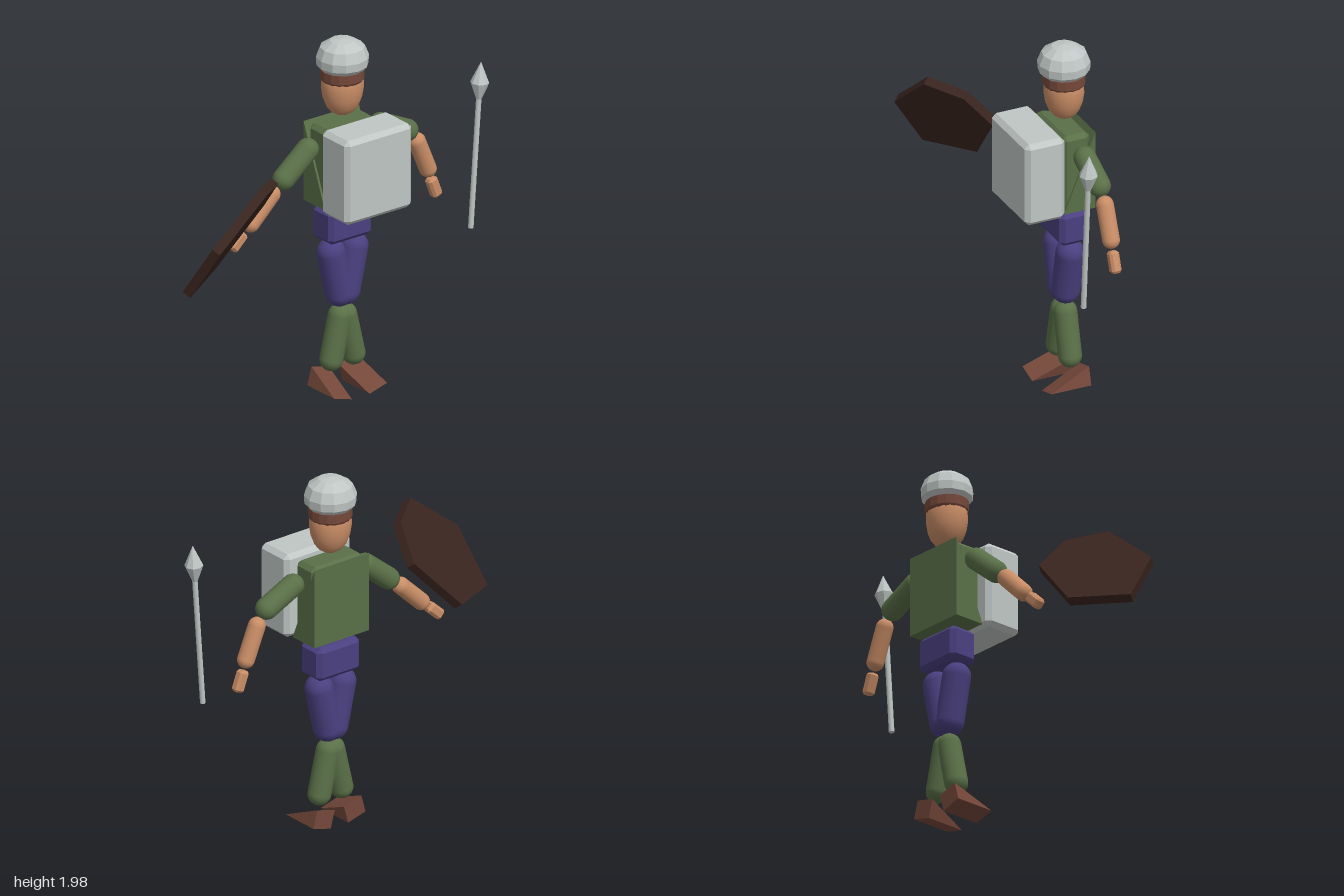
import * as THREE from 'three';
import { ConvexGeometry } from 'three/addons/geometries/ConvexGeometry.js';

const V = (x, y, z = 0) => new THREE.Vector3(x, y, z);
const mat = (color, extra = {}) => new THREE.MeshStandardMaterial({ color, ...extra });
const skin = mat(0xc98d66);
const green = mat(0x5a7048);
const purple = mat(0x4a4080);
const leather = mat(0x75483a);
const darkWood = mat(0x3a251f);
const metal = mat(0xbfc6c4);

function add(parent, name, geometry, material, x = 0, y = 0, z = 0) {
  const mesh = new THREE.Mesh(geometry, material);
  mesh.name = name;
  mesh.position.set(x, y, z);
  parent.add(mesh);
  return mesh;
}

// Box with a flat chamfer on every edge
function chamferBox(w, h, d, c) {
  const pts = [];
  for (const i of [-1, 1]) for (const j of [-1, 1]) for (const k of [-1, 1]) {
    const x = w / 2, y = h / 2, z = d / 2;
    pts.push(V(i * x, j * (y - c), k * (z - c)),
      V(i * (x - c), j * y, k * (z - c)),
      V(i * (x - c), j * (y - c), k * z));
  }
  return new ConvexGeometry(pts);
}

// Right-angled wedge: upright at the back, sloping down to the front, centred
function wedge(w, h, d) {
  const shape = new THREE.Shape([
    new THREE.Vector2(-d / 2, -h / 2), new THREE.Vector2(d / 2, -h / 2), new THREE.Vector2(-d / 2, h / 2)]);
  return new THREE.ExtrudeGeometry(shape, { depth: w, bevelEnabled: false })
    .translate(0, 0, -w / 2).rotateY(-Math.PI / 2);
}

function lathe(profile, sides) {
  return new THREE.LatheGeometry(profile.map(([r, y]) => new THREE.Vector2(r, y)), sides);
}

// Places a y-aligned mesh so that it runs from a to b
function align(mesh, a, b) {
  mesh.position.copy(a).lerp(b, 0.5);
  mesh.quaternion.setFromUnitVectors(V(0, 1, 0), b.clone().sub(a).normalize());
  return mesh;
}

function limb(parent, name, a, b, r, material) {
  return align(add(parent, name, new THREE.CapsuleGeometry(r, a.distanceTo(b), 8, 18), material), a, b);
}

export function createModel() {
  const model = new THREE.Group();
  model.name = 'soldier';
  const body = new THREE.Group();
  body.name = 'body';
  body.position.set(0.21, 0, -0.15);
  model.add(body);

  // Head and helmet
  const head = add(body, 'head', lathe([[0, 1.55], [0.035, 1.556], [0.065, 1.574], [0.09, 1.606],
    [0.107, 1.65], [0.115, 1.7], [0.114, 1.75], [0.1, 1.79], [0, 1.82]], 20), skin);
  head.scale.z = 0.92;
  const band = add(body, 'helmetBand', lathe([[0, 1.745], [0.11, 1.745], [0.119, 1.76], [0.119, 1.81],
    [0.11, 1.825], [0, 1.825]], 16), mat(0x75483a, { flatShading: true }));
  band.scale.z = 0.95;
  add(body, 'helmet', lathe([[0, 1.81], [0.115, 1.81], [0.137, 1.835], [0.14, 1.88], [0.118, 1.935],
    [0.065, 1.97], [0, 1.98]], 12), mat(0xbfc6c4, { flatShading: true }));

  // Torso
  add(body, 'chestPlate', chamferBox(0.44, 0.475, 0.23, 0.025), metal, 0, 1.31, 0.207);
  add(body, 'torso', chamferBox(0.34, 0.44, 0.16, 0.025), green, 0, 1.3, 0.005);
  add(body, 'backPlate', wedge(0.365, 0.445, 0.18), green, 0, 1.3025, -0.005);
  add(body, 'pelvis', chamferBox(0.285, 0.19, 0.17, 0.025), purple, 0, 0.955, 0);

  // Legs and feet
  for (const s of [-1, 1]) {
    const side = s > 0 ? 'left' : 'right';
    limb(body, side + 'Thigh', V(s * 0.075, 0.787), V(s * 0.022, 0.548), 0.077, purple);
    limb(body, side + 'Shin', V(s * 0.018, 0.415), V(s * 0.073, 0.18), 0.063, green);
    add(body, side + 'Foot', wedge(0.12, 0.103, 0.23), leather, s * 0.102, 0.067, 0.04).rotation.z = s * 0.27;
  }

  // Arms: shoulder, elbow, forearm start, wrist, hand ends
  const arms = {
    left: [V(0.25, 1.43), V(0.425, 1.347), V(0.49, 1.267), V(0.562, 1.093), V(0.579, 1.037), V(0.621, 0.925)],
    right: [V(-0.23, 1.41), V(-0.386, 1.283), V(-0.466, 1.218), V(-0.603, 1.087), V(-0.65, 1.048), V(-0.732, 0.972)],
  };
  for (const [side, p] of Object.entries(arms)) {
    limb(body, side + 'UpperArm', p[0], p[1], 0.06, green);
    limb(body, side + 'Forearm', p[2], p[3], 0.047, skin);
    align(add(body, side + 'Hand', chamferBox(0.06, p[4].distanceTo(p[5]), 0.056, 0.013), skin), p[4], p[5]);
  }

  // Six-cornered shield, tilted towards the ground
  const outline = [[0, 0.335], [-0.21, 0.23], [-0.253, -0.18], [0, -0.42], [0.253, -0.18], [0.21, 0.23]];
  const shield = add(model, 'shield', new THREE.ExtrudeGeometry(
    new THREE.Shape(outline.map(([x, y]) => new THREE.Vector2(x, y))),
    { depth: 0.05, bevelEnabled: false }).translate(0, 0, -0.025), darkWood, -0.68, 1.2, 0.09);
  const up = V(0.736, 0.676, 0.04).normalize();
  const across = up.clone().cross(V(0.477, -0.515, 0.711)).normalize();
  shield.quaternion.setFromRotationMatrix(
    new THREE.Matrix4().makeBasis(across, up, across.clone().cross(up)));

  // Spear
  const spear = new THREE.Group();
  spear.name = 'spear';
  spear.position.set(0.888, 0.8, 0.065);
  spear.rotation.z = -0.073;
  model.add(spear);
  add(spear, 'spearShaft', new THREE.CylinderGeometry(0.015, 0.015, 0.75, 10), metal, 0, 0.375);
  add(spear, 'spearHead', lathe([[0, 0.715], [0.014, 0.715], [0.05, 0.81], [0, 0.925]], 8),
    mat(0xbfc6c4, { flatShading: true }));

  return model;
}
